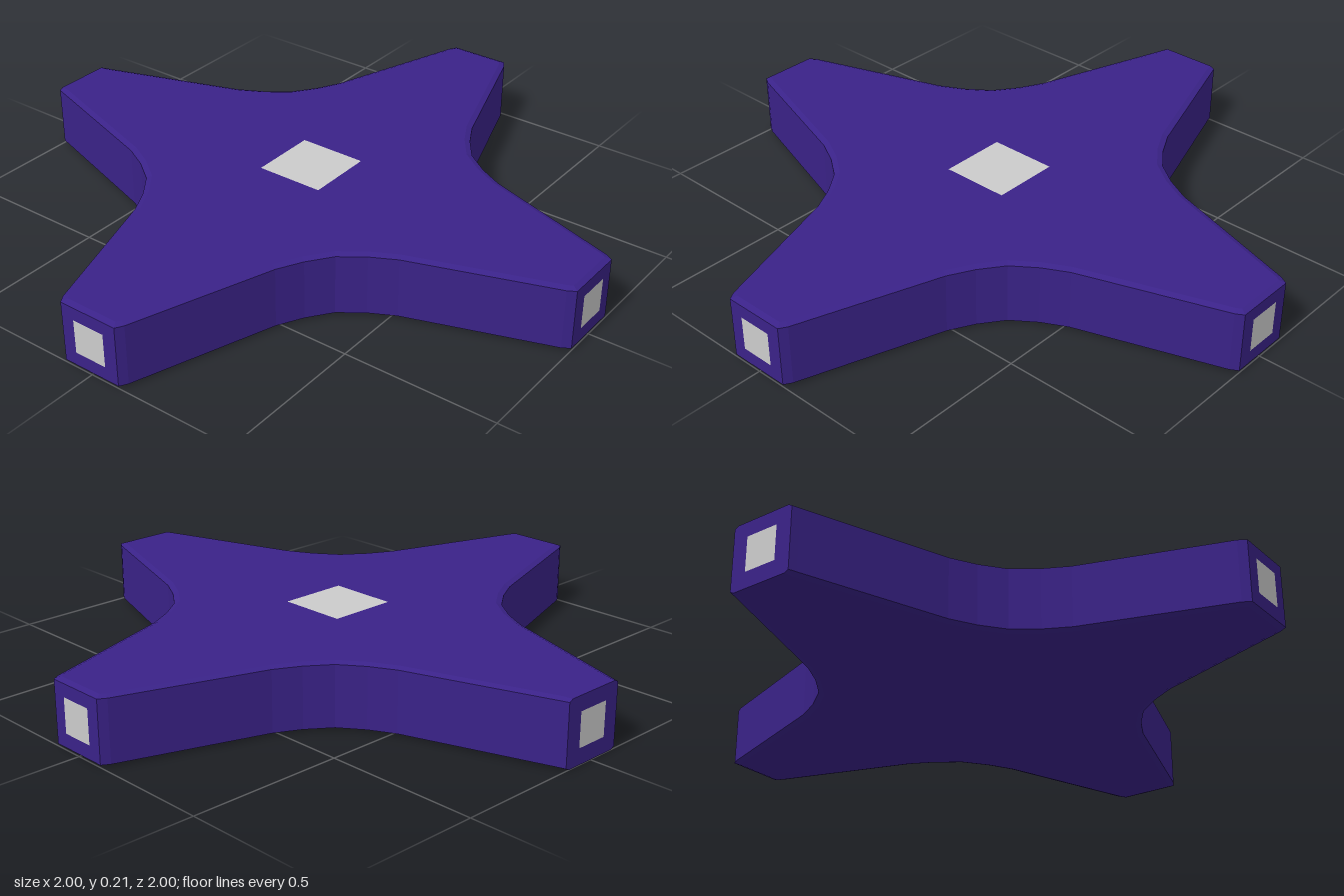
import * as THREE from 'three';

const HEIGHT = 0.21;
const BEVEL = 0.018, BEVEL_RISE = 0.007;

// Outline of a quarter of the star, from the side of one arm tip to the next
const QUARTER = [
  [1, 0.1], [0.975, 0.115], [0.52, 0.268], [0.44, 0.31], [0.365, 0.365],
  [0.31, 0.44], [0.268, 0.52], [0.115, 0.975], [0.1, 1],
];

function starGeometry() {
  const points = [];
  for (let q = 0; q < 4; q++) {
    for (const [x, y] of QUARTER) {
      points.push(new THREE.Vector2(x, y).rotateAround(new THREE.Vector2(), q * Math.PI / 2));
    }
  }
  // The back arm ends in square corners
  for (const p of points) {
    if (p.y > 0.96) {
      p.x = Math.sign(p.x) * (p.y > 0.99 ? 0.108 : 0.116);
    }
  }
  const geometry = new THREE.ExtrudeGeometry(new THREE.Shape(points), {
    depth: HEIGHT - 2 * BEVEL_RISE,
    bevelEnabled: true,
    bevelSegments: 1,
    bevelSize: BEVEL,
    bevelOffset: -BEVEL,
    bevelThickness: BEVEL_RISE,
  });
  geometry.rotateX(-Math.PI / 2).translate(0, BEVEL_RISE, 0);
  // Square off the back end face
  const pos = geometry.attributes.position;
  for (let i = 0; i < pos.count; i++) {
    if (pos.getZ(i) < -0.979) pos.setZ(i, -1);
  }
  geometry.computeVertexNormals();
  return geometry;
}

export function createModel() {
  const group = new THREE.Group();
  const purple = new THREE.MeshStandardMaterial({ color: 0x3a2288, flatShading: true });
  const grey = new THREE.MeshStandardMaterial({ color: 0xcccccc });

  const body = new THREE.Mesh(starGeometry(), purple);
  body.name = 'starBody';
  group.add(body);

  // Square panel in the middle of the top
  const topPanel = new THREE.Mesh(new THREE.PlaneGeometry(0.224, 0.224), grey);
  topPanel.name = 'topPanel';
  topPanel.rotation.x = -Math.PI / 2;
  topPanel.position.y = HEIGHT + 0.001;
  group.add(topPanel);

  // Small square panel on the end of each arm
  ['front', 'left', 'back', 'right'].forEach((side, i) => {
    const angle = i * Math.PI / 2;
    const panel = new THREE.Mesh(new THREE.PlaneGeometry(0.11, 0.11), grey);
    panel.name = side + 'EndPanel';
    panel.rotation.y = angle;
    panel.position.set(Math.sin(angle) * 1.001, HEIGHT / 2 + 0.002, Math.cos(angle) * 1.001);
    group.add(panel);
  });

  return group;
}
